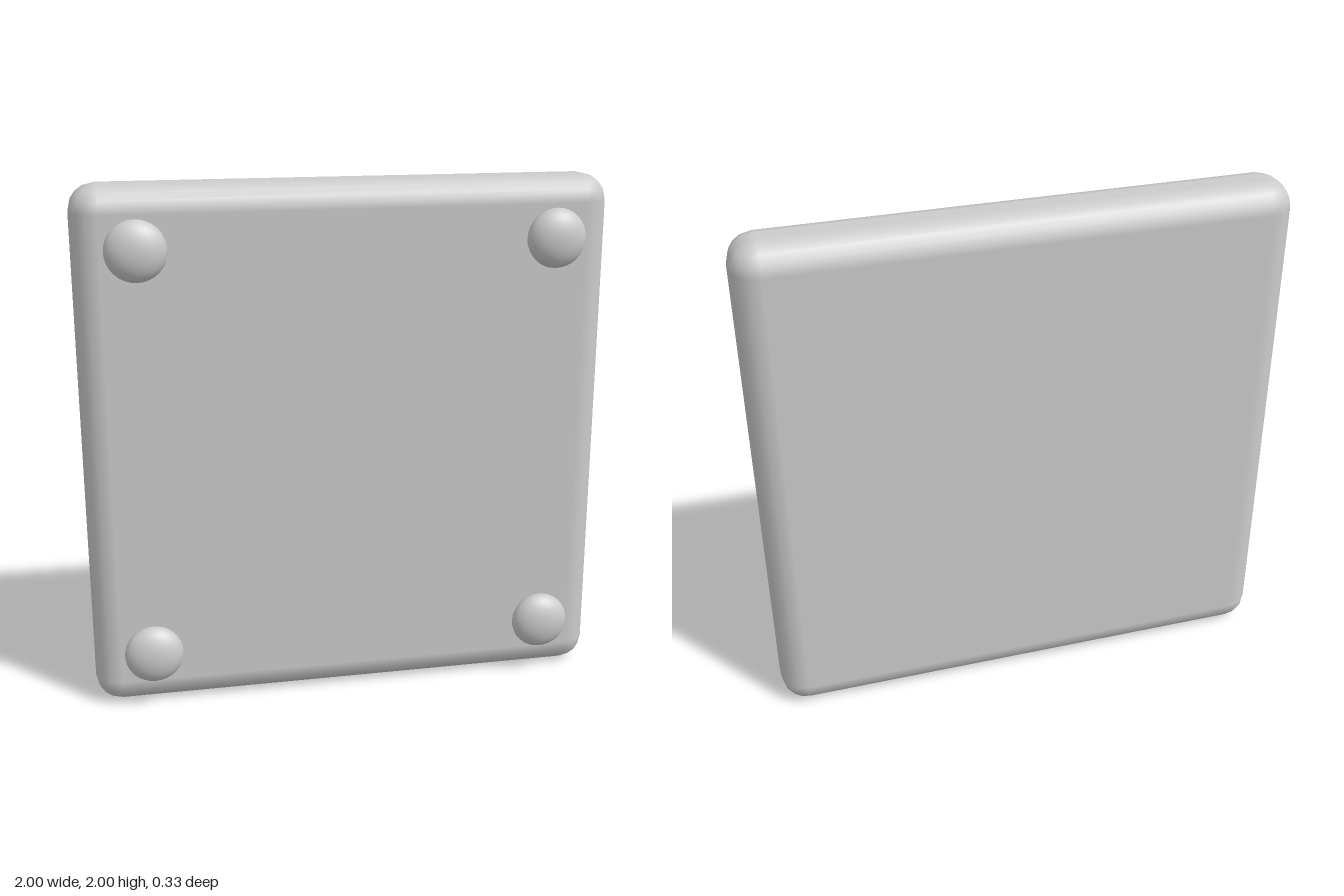
import * as THREE from 'three';
import { RoundedBoxGeometry } from 'three/addons/geometries/RoundedBoxGeometry.js';

export function createModel() {
  const model = new THREE.Group();
  const material = new THREE.MeshStandardMaterial({ color: 0xcccccc });

  // Square slab with softly rounded edges
  const panel = new THREE.Mesh(new RoundedBoxGeometry(2, 2, 0.246, 2, 0.1), material);
  panel.name = 'panel';
  panel.position.set(0, 1, -0.044);
  model.add(panel);

  // Flattened round studs near the four front corners
  const studGeometry = new THREE.SphereGeometry(0.112, 32, 16);
  studGeometry.rotateX(Math.PI / 2);
  studGeometry.scale(1, 1, 0.56);
  for (const [sideX, nameX] of [[1, 'Left'], [-1, 'Right']]) {
    for (const [sideY, nameY] of [[1, 'upper'], [-1, 'lower']]) {
      const stud = new THREE.Mesh(studGeometry, material);
      stud.name = `${nameY}${nameX}Stud`;
      stud.position.set(sideX * 0.775, 1 + sideY * 0.775, 0.105);
      model.add(stud);
    }
  }
  return model;
}
